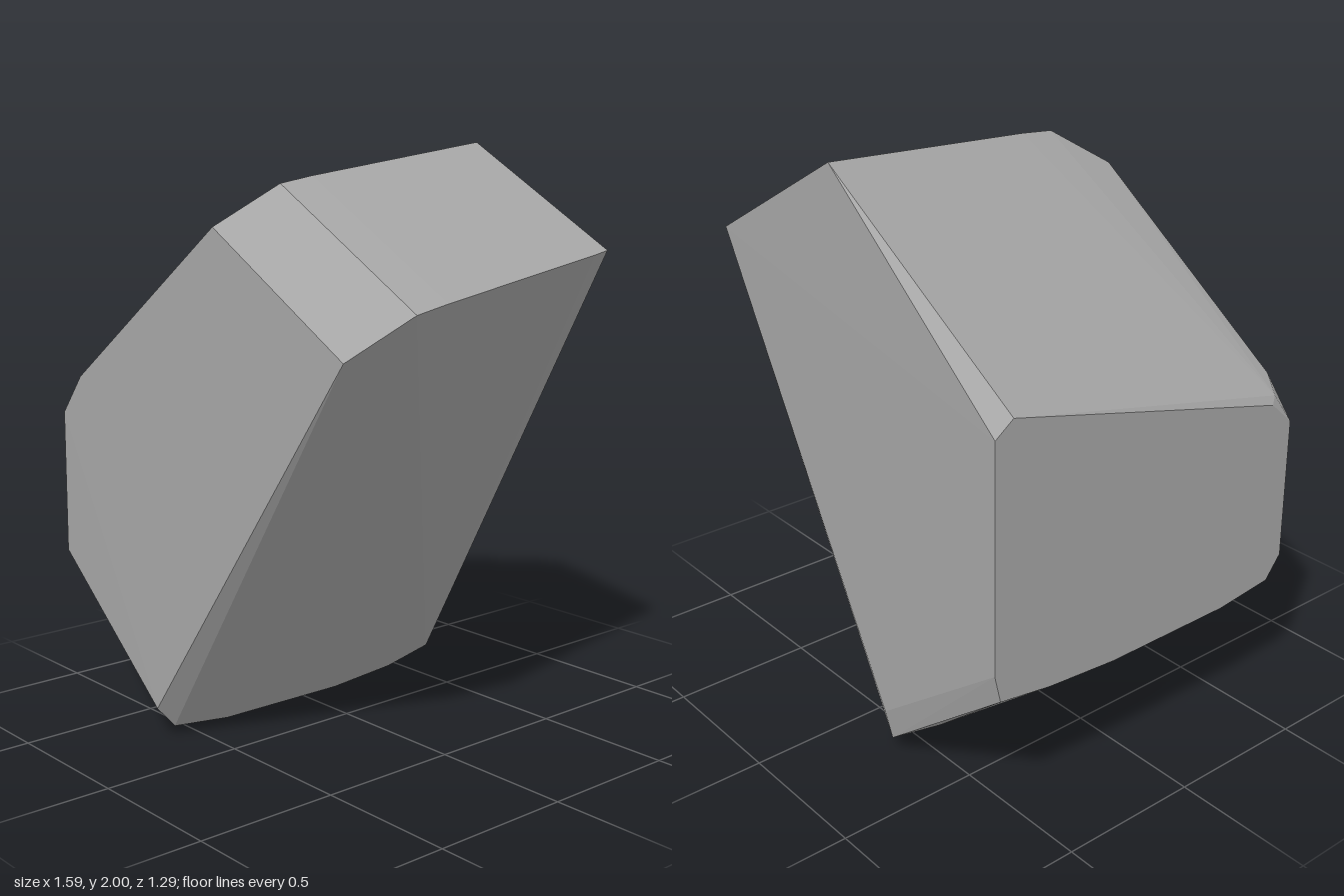
import * as THREE from 'three';
import { ConvexGeometry } from 'three/addons/geometries/ConvexGeometry.js';

// Long edges of the boulder, each running from front (+z) to back (-z)
const edges = {
  peak: [[0.085, 1.755, 0.62], [0.17, 1.885, 0.42], [0.145, 1.905, 0.27], [0, 1.99, -0.55], [-0.02, 2, -0.635]],
  rightShoulder: [[0.7, 1.4, 0.62], [0.79, 1.53, 0.42], [0.765, 1.55, 0.27], [0.62, 1.64, -0.55], [0.6, 1.65, -0.635]],
  keel: [[-0.24, 0.11, 0.645], [-0.24, 0.03, 0.575], [-0.24, 0.004, 0.35], [-0.24, 0, -0.15],
    [-0.24, 0.02, -0.42], [-0.24, 0.06, -0.62], [-0.23, 0.17, -0.64]],
  lowerLeft: [[-0.8, 0.555, 0.638], [-0.8, 0.475, 0.575], [-0.8, 0.45, 0.35], [-0.8, 0.45, -0.15],
    [-0.8, 0.47, -0.42], [-0.8, 0.5, -0.62], [-0.8, 0.6, -0.643]],
  upperLeft: [[-0.8, 1.06, 0.635], [-0.69, 1.2, 0.632], [-0.78, 1.165, 0.57], [-0.8, 1.145, 0.54],
    [-0.8, 1.425, -0.575], [-0.8, 1.375, -0.643]],
};

export function createModel() {
  const group = new THREE.Group();
  group.name = 'boulder';

  const stone = new THREE.MeshStandardMaterial({ color: 0xa6a6a6 });
  stone.name = 'grey stone';

  // Faceted solid spanned between the edges
  const points = Object.values(edges).flat().map((p) => new THREE.Vector3(...p));
  const rock = new THREE.Mesh(new ConvexGeometry(points), stone);
  rock.name = 'rock';
  group.add(rock);

  return group;
}
